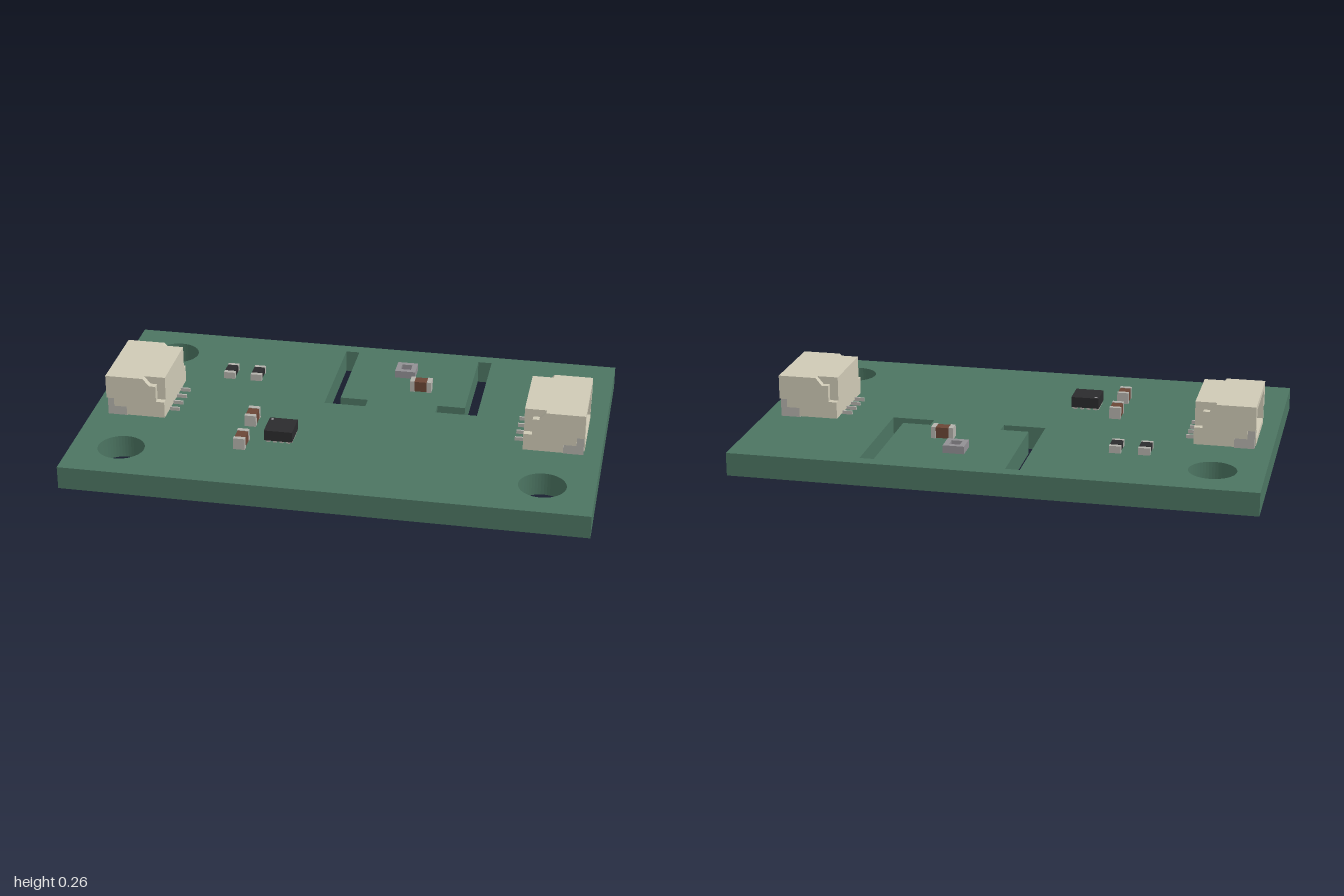
import * as THREE from 'three';

const mat = (color) => new THREE.MeshStandardMaterial({ color });
const green = mat(0x4c7562), cream = mat(0xcfcab6), metal = mat(0xb4b2ac);
const black = mat(0x2b2b2d), brown = mat(0x6b4636), grey = mat(0x929094), darkGrey = mat(0x69656b);
const TOP = 0.09;

function add(parent, name, geometry, material) {
  const mesh = new THREE.Mesh(geometry, material);
  mesh.name = name;
  parent.add(mesh);
  return mesh;
}

// Box given by its limits on each axis
function box(parent, name, material, x0, x1, y0, y1, z0, z1) {
  const mesh = add(parent, name, new THREE.BoxGeometry(x1 - x0, y1 - y0, z1 - z0), material);
  mesh.position.set((x0 + x1) / 2, (y0 + y1) / 2, (z0 + z1) / 2);
  return mesh;
}

const outline = (points, Type = THREE.Shape) => new Type(points.map(([a, b]) => new THREE.Vector2(a, b)));
const rect = (a0, a1, b0, b1, Type) => outline([[a0, b0], [a1, b0], [a1, b1], [a0, b1]], Type);
const extrude = (shape, depth) =>
  new THREE.ExtrudeGeometry(shape, { depth, bevelEnabled: false, curveSegments: 24 });

// Board with mounting holes and two L-shaped relief slots
function makeBoard() {
  const shape = rect(-1, 1, -0.612, 0.612);
  for (const [x, z] of [[-0.806, -0.417], [-0.806, 0.417], [0.803, 0.417]]) {
    const hole = new THREE.Path();
    hole.absarc(x, -z, 0.09, 0, Math.PI * 2);
    shape.holes.push(hole);
  }
  for (const side of [-1, 1]) {
    const points = [[0.305, 0.56], [0.25, 0.56], [0.25, 0.142], [0.14, 0.142], [0.14, 0.086], [0.305, 0.086]];
    shape.holes.push(outline(points.map(([x, y]) => [0.19 + side * x, y]), THREE.Path));
  }
  const geometry = extrude(shape, TOP);
  geometry.rotateX(-Math.PI / 2);
  const board = new THREE.Mesh(geometry, green);
  board.name = 'board';
  return board;
}

// Four-pin socket, opening towards +x
function makeConnector(name) {
  const group = new THREE.Group();
  group.name = name;
  const y0 = 0.096, y1 = 0.258, core = 0.14, half = 0.165;

  // Hollow shell and its back wall
  const frame = rect(-core, core, y0, y1);
  frame.holes.push(rect(-0.125, 0.125, 0.118, 0.236, THREE.Path));
  const shell = extrude(frame, 0.195);
  shell.rotateY(Math.PI / 2);
  add(group, 'socketShell', shell, cream).position.x = 0.74;
  box(group, 'socketBack', cream, 0.702, 0.74, y0, y1, -core, core);

  // Side cheeks, notched at the upper rear and stepped at the lower mouth
  const cheek = outline([
    [0.702, y0], [0.855, y0], [0.855, 0.13], [0.905, 0.13], [0.905, 0.163], [0.935, 0.163],
    [0.935, y1], [0.785, y1], [0.76, 0.228], [0.735, 0.228], [0.735, 0.163], [0.702, 0.163],
  ]);
  for (const side of [-1, 1]) {
    add(group, 'socketCheek', extrude(cheek, half - core), cream).position.z = side > 0 ? core : -half;
    const z = side * 0.148;
    box(group, 'anchorTab', metal, 0.855, 0.932, TOP, 0.13, z - 0.01, z + 0.01);
    box(group, 'anchorTabUpper', metal, 0.905, 0.932, 0.13, 0.163, z - 0.01, z + 0.01);
  }

  // Contact pins and their solder tails
  for (let i = 0; i < 4; i++) {
    const z = (i - 1.5) * 0.056;
    box(group, 'contactPin', metal, 0.74, 0.88, 0.188, 0.212, z - 0.004, z + 0.004);
    box(group, 'pinTip', black, 0.88, 0.884, 0.188, 0.2, z - 0.004, z + 0.004);
    box(group, 'solderTail', metal, 0.663, 0.705, TOP, 0.104, z - 0.004, z + 0.004);
  }
  return group;
}

// Two-terminal chip lying along z
function makeChip(name, bodyMaterial, x, z, height, turn = 0) {
  const group = new THREE.Group();
  group.name = name;
  box(group, 'chipBody', bodyMaterial, -0.021, 0.021, 0.002, height - 0.002, -0.027, 0.027);
  // Dark film standing proud of the chip between its terminals
  if (bodyMaterial === black) box(group, 'chipFilm', black, -0.021, 0.021, height - 0.002, height + 0.001, -0.025, 0.025);
  for (const side of [-1, 1]) {
    const c = side * 0.034;
    box(group, 'chipTerminal', metal, -0.0225, 0.0225, 0, height, c - 0.009, c + 0.009);
  }
  group.position.set(x, TOP, z);
  group.rotation.y = turn;
  return group;
}

// Square controller package on small pads
function makeController() {
  const group = new THREE.Group();
  group.name = 'controller';
  box(group, 'controllerBody', black, -0.055, 0.055, 0.007, 0.049, -0.055, 0.055);
  for (let i = 0; i < 4; i++) {
    const c = (i - 1.5) * 0.026;
    for (const s of [-1, 1]) {
      box(group, 'controllerPad', metal, c - 0.007, c + 0.007, 0, 0.008, s * 0.045 - 0.009, s * 0.045 + 0.009);
      box(group, 'controllerPad', metal, s * 0.045 - 0.009, s * 0.045 + 0.009, 0, 0.008, c - 0.007, c + 0.007);
    }
  }
  const dot = add(group, 'cornerDot', new THREE.CylinderGeometry(0.006, 0.006, 0.002, 16), grey);
  dot.position.set(-0.042, 0.049, -0.042);
  group.position.set(-0.225, TOP, 0.22);
  return group;
}

// Square sensor with a sunken window
function makeSensor() {
  const group = new THREE.Group();
  group.name = 'sensor';
  const frame = rect(-0.041, 0.041, -0.041, 0.041);
  frame.holes.push(rect(-0.021, 0.021, -0.021, 0.021, THREE.Path));
  const geometry = extrude(frame, 0.03);
  geometry.rotateX(-Math.PI / 2);
  add(group, 'sensorFrame', geometry, grey);
  box(group, 'sensorWindow', darkGrey, -0.021, 0.021, 0, 0.018, -0.021, 0.021);
  group.position.set(0.165, TOP, -0.4);
  return group;
}

export function createModel() {
  const model = new THREE.Group();
  model.name = 'circuitBoard';
  const leftSocket = makeConnector('leftSocket');
  const rightSocket = makeConnector('rightSocket');
  rightSocket.rotation.y = Math.PI;
  model.add(makeBoard(), leftSocket, rightSocket, makeController(), makeSensor());
  for (const x of [-0.536, -0.425]) model.add(makeChip('resistor', black, x, -0.268, 0.028));
  for (const z of [0.12, 0.31]) model.add(makeChip('capacitor', brown, -0.36, z, 0.046));
  model.add(makeChip('capacitor', brown, 0.246, -0.268, 0.046, Math.PI / 2));
  return model;
}
